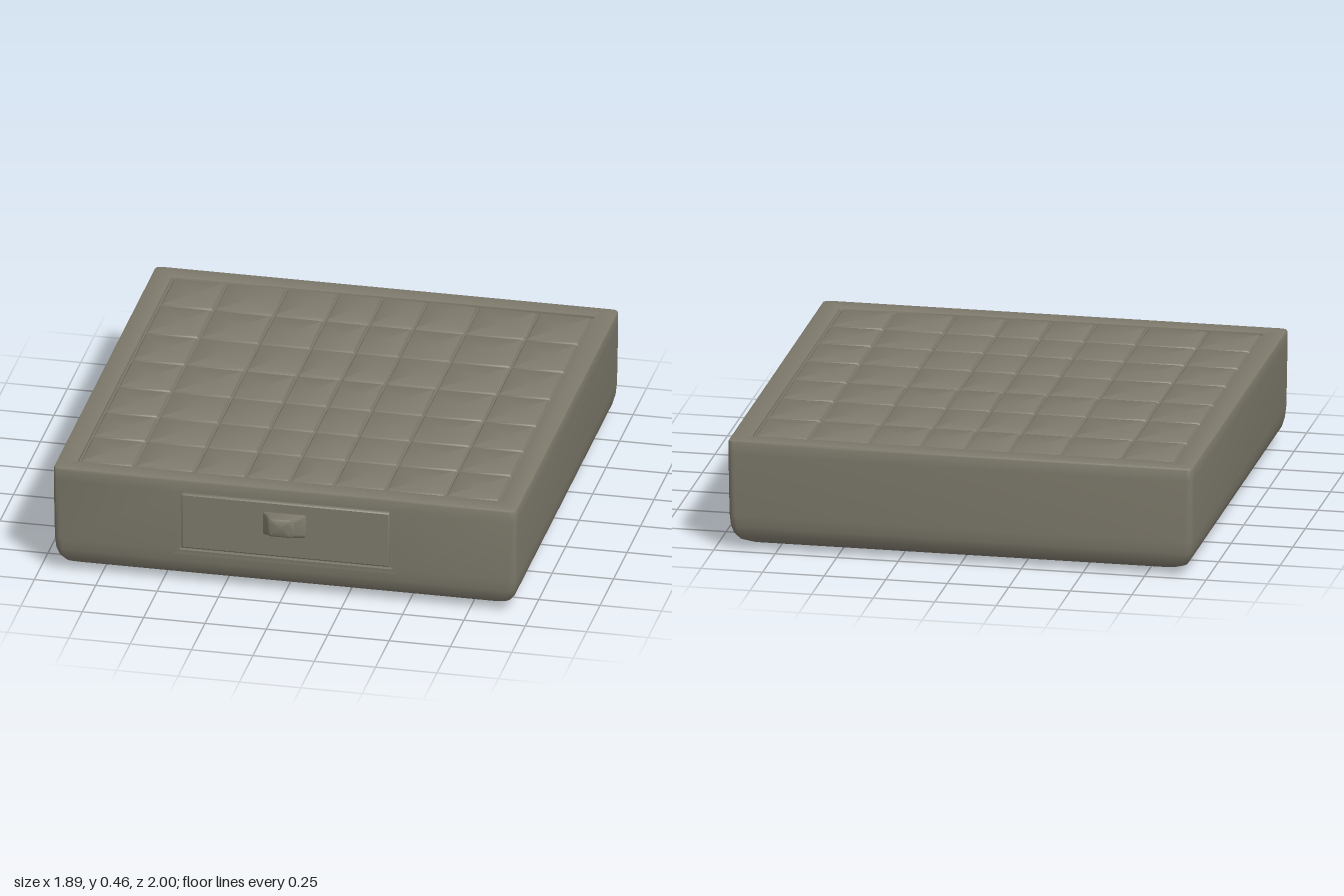
import * as THREE from 'three';
import { toCreasedNormals } from 'three/addons/utils/BufferGeometryUtils.js';

// Counter-clockwise rounded rectangle at height y; extra points go on its front (+z) edge
function ring(y, x0, x1, z0, z1, r, frontXs = []) {
  const pts = [];
  const corners = [[x1 - r, z0 + r], [x0 + r, z0 + r], [x0 + r, z1 - r], [x1 - r, z1 - r]];
  corners.forEach(([cx, cz], c) => {
    if (c === 3) frontXs.forEach((x) => pts.push(new THREE.Vector3(x, y, z1)));
    for (let k = 0; k <= 4; k++) {
      const a = (c + k / 4) * Math.PI / 2;
      pts.push(new THREE.Vector3(cx + r * Math.cos(a), y, cz - r * Math.sin(a)));
    }
  });
  return pts;
}

// Skin a stack of rings and cap both ends; skip(level, side) leaves an opening
function loft(rings, skip = () => false, crease = 0.6) {
  const pos = [];
  const tri = (...ps) => ps.forEach((p) => pos.push(p.x, p.y, p.z));
  const centre = (r) => r.reduce((s, p) => s.add(p), new THREE.Vector3()).divideScalar(r.length);
  const n = rings[0].length;
  for (let l = 0; l < rings.length - 1; l++) {
    for (let i = 0; i < n; i++) {
      if (skip(l, i)) continue;
      const j = (i + 1) % n, a = rings[l], b = rings[l + 1];
      tri(a[i], a[j], b[j]);
      tri(a[i], b[j], b[i]);
    }
  }
  const first = rings[0], last = rings[rings.length - 1];
  const c0 = centre(first), c1 = centre(last);
  for (let i = 0; i < n; i++) {
    const j = (i + 1) % n;
    tri(c0, first[j], first[i]);
    tri(c1, last[i], last[j]);
  }
  const g = new THREE.BufferGeometry();
  g.setAttribute('position', new THREE.Float32BufferAttribute(pos, 3));
  return toCreasedNormals(g, crease);
}

export function createModel() {
  const model = new THREE.Group();
  model.name = 'gameBoardBox';
  const stone = new THREE.MeshStandardMaterial({ color: 0x7d796b });
  stone.name = 'greyStone';
  const add = (geo, name, parent = model) => {
    const m = new THREE.Mesh(geo, stone);
    m.name = name;
    parent.add(m);
    return m;
  };

  // Body: softly rounded base, straight walls, raised rim and sunken board floor
  const D = { x0: -0.43, x1: 0.435, y0: 0.15, y1: 0.405 };
  const profile = [ // height, inset, corner radius
    [0, 0.3, 0.04], [0.008, 0.14, 0.04], [0.022, 0.07, 0.04], [0.04, 0.035, 0.04],
    [0.065, 0.018, 0.035], [0.1, 0.008, 0.03], [D.y0, 0.003, 0.03], [D.y1, 0, 0.025],
    [0.45, 0, 0.025], [0.457, 0.003, 0.022], [0.46, 0.01, 0.02],
    [0.46, 0.078, 0.008], [0.457, 0.084, 0.006], [0.447, 0.086, 0.005],
  ];
  const bodyRings = profile.map(([y, d, r]) =>
    ring(y, -0.945 + d, 0.945 - d, -1 + d, 0.915 - d, r, [D.x0, D.x1]));
  add(loft(bodyRings, (l, i) => l === 6 && i === 15), 'body');

  // Board squares, eight columns by seven rows, with bevelled edges
  const xs = [-0.855, -0.635, -0.39, -0.18, 0, 0.18, 0.39, 0.635, 0.855];
  const zs = [-0.912, -0.655, -0.39, -0.135, 0.12, 0.36, 0.59, 0.826];
  const squares = new THREE.Group();
  squares.name = 'boardSquares';
  model.add(squares);
  for (let c = 0; c < 8; c++) {
    for (let r = 0; r < 7; r++) {
      const levels = [[0.445, 0.004], [0.452, 0.005], [0.457, 0.012]];
      add(loft(levels.map(([y, d]) =>
        ring(y, xs[c] + d, xs[c + 1] - d, zs[r] + d, zs[r + 1] - d, 0.006)), undefined, 0.9),
      'boardSquare', squares);
    }
  }

  // Drawer recess: shallow lining around the opening and a back plate
  const rect = (P, x0, y0, x1, y1) => new P()
    .moveTo(x0, y0).lineTo(x1, y0).lineTo(x1, y1).lineTo(x0, y1).closePath();
  const lining = rect(THREE.Shape, D.x0 - 0.02, D.y0 - 0.02, D.x1 + 0.02, D.y1 + 0.02);
  lining.holes.push(rect(THREE.Path, D.x0, D.y0, D.x1, D.y1));
  add(new THREE.ExtrudeGeometry(lining, { depth: 0.025, bevelEnabled: false }), 'drawerLining')
    .position.z = 0.886;
  const back = add(new THREE.BoxGeometry(D.x1 - D.x0 + 0.03, D.y1 - D.y0 + 0.03, 0.01), 'drawerRecess');
  back.position.set((D.x0 + D.x1) / 2, (D.y0 + D.y1) / 2, 0.89);

  // Drawer front, lofted outward along +z
  const drawer = new THREE.Group();
  drawer.name = 'drawer';
  model.add(drawer);
  const panel = loft([[0.89, 0.009], [0.908, 0.009], [0.913, 0.014]].map(([h, d]) =>
    ring(h, D.x0 + d, D.x1 - d, -D.y1 + d, -D.y0 - d, 0.006)));
  add(panel.rotateX(Math.PI / 2), 'drawerFront', drawer);

  // Pull handle: tapers sideways and rises slightly toward its tip
  const sections = [ // distance out, half width, bottom, top, corner radius
    [0.905, 0.092, 0.25, 0.352, 0.01], [0.925, 0.082, 0.258, 0.355, 0.012],
    [0.95, 0.067, 0.268, 0.359, 0.014], [0.98, 0.056, 0.28, 0.363, 0.014],
    [0.995, 0.049, 0.287, 0.363, 0.012], [1, 0.038, 0.295, 0.357, 0.01],
  ];
  const handle = loft(sections.map(([h, w, lo, hi, r]) => ring(h, -w, w, -hi, -lo, r)), undefined, 0.8);
  add(handle.rotateX(Math.PI / 2), 'drawerHandle', drawer);

  return model;
}
